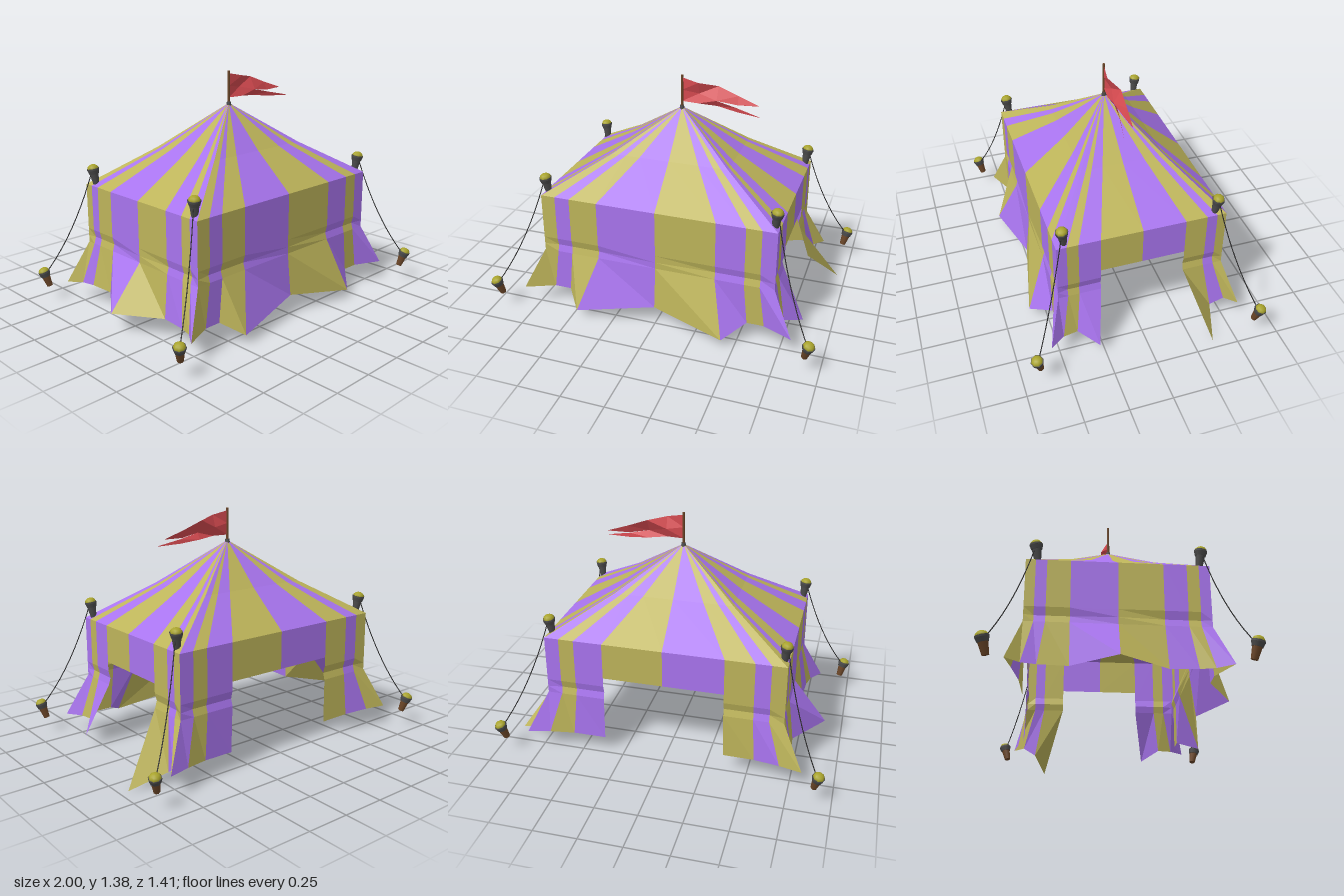
import * as THREE from 'three';

const mat = (color, extra = {}) => new THREE.MeshStandardMaterial({ color, ...extra });
const cloth = { side: THREE.DoubleSide, flatShading: true };
const yellow = mat(0xbdb45a, cloth), purple = mat(0xa874ee, cloth), red = mat(0xd64a50, cloth);
const dark = mat(0x4c4c4c), brown = mat(0x6b4628), gold = mat(0xa8a32c), ropeMat = mat(0x2a2a2a);

const HX = 0.7, HZ = 0.488, EAVE = 0.73, DOOR = 0.51, WAIST = 0.37;

function add(parent, name, geometry, material) {
  const m = new THREE.Mesh(geometry, material);
  m.name = name;
  parent.add(m);
  return m;
}

// Cloth strip between two columns of points running from top to bottom
function strip(a, b, flip = false) {
  const pos = [];
  if (flip) [a, b] = [b, a];
  for (let k = 0; k < a.length - 1; k++) {
    pos.push(...a[k], ...a[k + 1], ...b[k + 1], ...a[k], ...b[k + 1], ...b[k]);
  }
  const g = new THREE.BufferGeometry();
  g.setAttribute('position', new THREE.Float32BufferAttribute(pos, 3));
  g.computeVertexNormals();
  return g;
}

// Stripe boundaries along each side, and where each boundary meets the hem
const xs = [-HX, -0.615, -0.525, -0.355, 0, 0.355, 0.525, 0.615, HX];
const zs = [-HZ, -0.435, -0.375, -0.25, 0, 0.24, 0.365, 0.43, HZ];
const hemCorner = (sx, sz) => [sx * 0.82, 0.12, sz * 0.565];
const sides = [
  { name: 'front', us: xs, at: (u, y, o) => [u, y, HZ + o], door: false, flip: false,
    hem: [hemCorner(-1, 1), [-0.65, 0.12, 0.49], [-0.55, 0.12, 0.49], [-0.46, 0.055, 0.605],
      [0, 0.12, 0.515], [0.43, 0.05, 0.605], [0.55, 0.12, 0.49], [0.65, 0.12, 0.49], hemCorner(1, 1)] },
  { name: 'back', us: xs, at: (u, y, o) => [u, y, -HZ - o], door: true, flip: true,
    hem: [hemCorner(-1, -1), [-0.69, 0.12, -0.535], [-0.54, 0.11, -0.5], [-0.36, 0.1, -0.485],
      null, [0.36, 0.1, -0.485], [0.55, 0.11, -0.5], [0.69, 0.12, -0.535], hemCorner(1, -1)] },
  { name: 'left', us: zs, at: (u, y, o) => [HX + o, y, u], door: true, flip: true,
    hem: [hemCorner(1, -1), [0.76, 0.12, -0.5], [0.74, 0.07, -0.425], [0.95, 0, -0.36],
      null, [0.84, 0.07, 0.29], [0.745, 0.12, 0.395], [0.76, 0.12, 0.48], hemCorner(1, 1)] },
  { name: 'right', us: zs, at: (u, y, o) => [-HX - o, y, u], door: false, flip: false,
    hem: [hemCorner(-1, -1), [-0.76, 0.12, -0.49], [-0.74, 0.12, -0.41], [-0.73, 0.12, -0.25],
      [-0.9, 0.12, -0.01], [-0.73, 0.12, 0.25], [-0.74, 0.12, 0.4], [-0.76, 0.12, 0.48], hemCorner(-1, 1)] },
];

function buildSide(tent, s) {
  const roof = new THREE.Group(), wall = new THREE.Group();
  roof.name = s.name + 'Roof';
  wall.name = s.name + 'Wall';
  tent.add(roof, wall);
  // Roof column sags slightly halfway down
  const roofCol = i => {
    const e = s.at(s.us[i], EAVE, 0);
    return [[e[0] * 0.02, 1.18, e[2] * 0.02], [e[0] * 0.5, 0.94, e[2] * 0.5], e];
  };
  // Wall column has a shallow fold above the waist, then flares to the hem
  const wallCol = i => {
    const fold = i % 4 ? -0.012 : 0, u = s.us[i];
    return [s.at(u, EAVE, 0), s.at(u, 0.455, 0), s.at(u, 0.41, fold), s.at(u, WAIST, 0), s.hem[i]];
  };
  const valanceCol = i => [s.at(s.us[i], EAVE, 0), s.at(s.us[i], DOOR, 0)];
  for (let i = 0; i < 8; i++) {
    const m = i % 2 ? purple : yellow;
    add(roof, 'roofStripe', strip(roofCol(i), roofCol(i + 1), s.flip), m);
    const isDoor = s.door && (i === 3 || i === 4);
    const col = isDoor ? valanceCol : wallCol;
    add(wall, isDoor ? 'doorValance' : 'wallStripe', strip(col(i), col(i + 1), s.flip), m);
  }
}

// Peg: tapered post, dark collar and a domed gold top, leaning outwards
function peg(name, x, y, z, bodyMat, lean) {
  const g = new THREE.Group();
  g.name = name;
  add(g, 'post', new THREE.CylinderGeometry(0.026, 0.018, 0.065, 8), bodyMat).position.y = -0.032;
  add(g, 'collar', new THREE.CylinderGeometry(0.036, 0.029, 0.025, 8), dark).position.y = 0.012;
  add(g, 'rim', new THREE.CylinderGeometry(0.036, 0.036, 0.01, 8), dark).position.y = 0.028;
  const dome = add(g, 'dome', new THREE.SphereGeometry(0.033, 8, 4, 0, Math.PI * 2, 0, Math.PI / 2), gold);
  dome.position.y = 0.032;
  dome.scale.y = 0.75;
  g.position.set(x, y, z);
  const out = new THREE.Vector3(Math.sign(x) * lean, 1, Math.sign(z) * lean).normalize();
  g.quaternion.setFromUnitVectors(new THREE.Vector3(0, 1, 0), out);
  return g;
}

function buildFlag() {
  const g = new THREE.Group();
  g.name = 'flag';
  add(g, 'flagPole', new THREE.CylinderGeometry(0.007, 0.008, 0.24, 8), brown).position.y = 1.26;
  add(g, 'poleCollar', new THREE.CylinderGeometry(0.012, 0.016, 0.025, 8), dark).position.y = 1.185;
  // Rippling swallow-tailed pennant: upper and lower halves share a middle line
  const upper = [[0, 1.365, 0], [0.1, 1.345, 0.012], [0.21, 1.325, -0.03], [0.33, 1.28, -0.025], [0.455, 1.237, -0.015]];
  const middle = [[0, 1.29, 0], [0.1, 1.275, -0.012], [0.21, 1.25, 0.012], [0.33, 1.232, -0.005], [0.455, 1.235, -0.015]];
  const middleLow = [...middle.slice(0, 3), [0.33, 1.222, 0.015], [0.47, 1.192, 0.04]];
  const lower = [[0, 1.222, 0], [0.1, 1.222, 0.01], [0.21, 1.212, -0.01], [0.33, 1.197, 0.012], [0.47, 1.19, 0.04]];
  add(g, 'upperPennant', strip(middle, upper), red);
  add(g, 'lowerPennant', strip(lower, middleLow), red);
  return g;
}

export function createModel() {
  const model = new THREE.Group();
  model.name = 'tent';

  const tent = new THREE.Group();
  tent.name = 'canvas';
  tent.position.z = -0.006;
  model.add(tent);
  sides.forEach(s => buildSide(tent, s));

  // Corner caps, ground pegs and sagging guy ropes
  const stakes = [[-0.92, -0.67], [0.962, -0.64], [-0.965, 0.635], [0.935, 0.667]];
  for (const [x, z] of stakes) {
    const cx = Math.sign(x) * 0.68, cz = Math.sign(z) * 0.44;
    model.add(peg('cornerCap', cx, 0.8, cz, dark, 0.12));
    model.add(peg('groundPeg', x * 0.992, 0.155, z * 0.992, brown, 0.25));
    const path = new THREE.QuadraticBezierCurve3(
      new THREE.Vector3(cx * 1.02, 0.8, cz * 1.02),
      new THREE.Vector3((cx + x) / 2 - Math.sign(x) * 0.02, 0.4, (cz + z) / 2 - Math.sign(z) * 0.01),
      new THREE.Vector3(x, 0.16, z));
    add(model, 'guyRope', new THREE.TubeGeometry(path, 10, 0.003, 5), ropeMat);
  }

  const flag = buildFlag();
  flag.position.z = -0.006;
  model.add(flag);
  return model;
}
